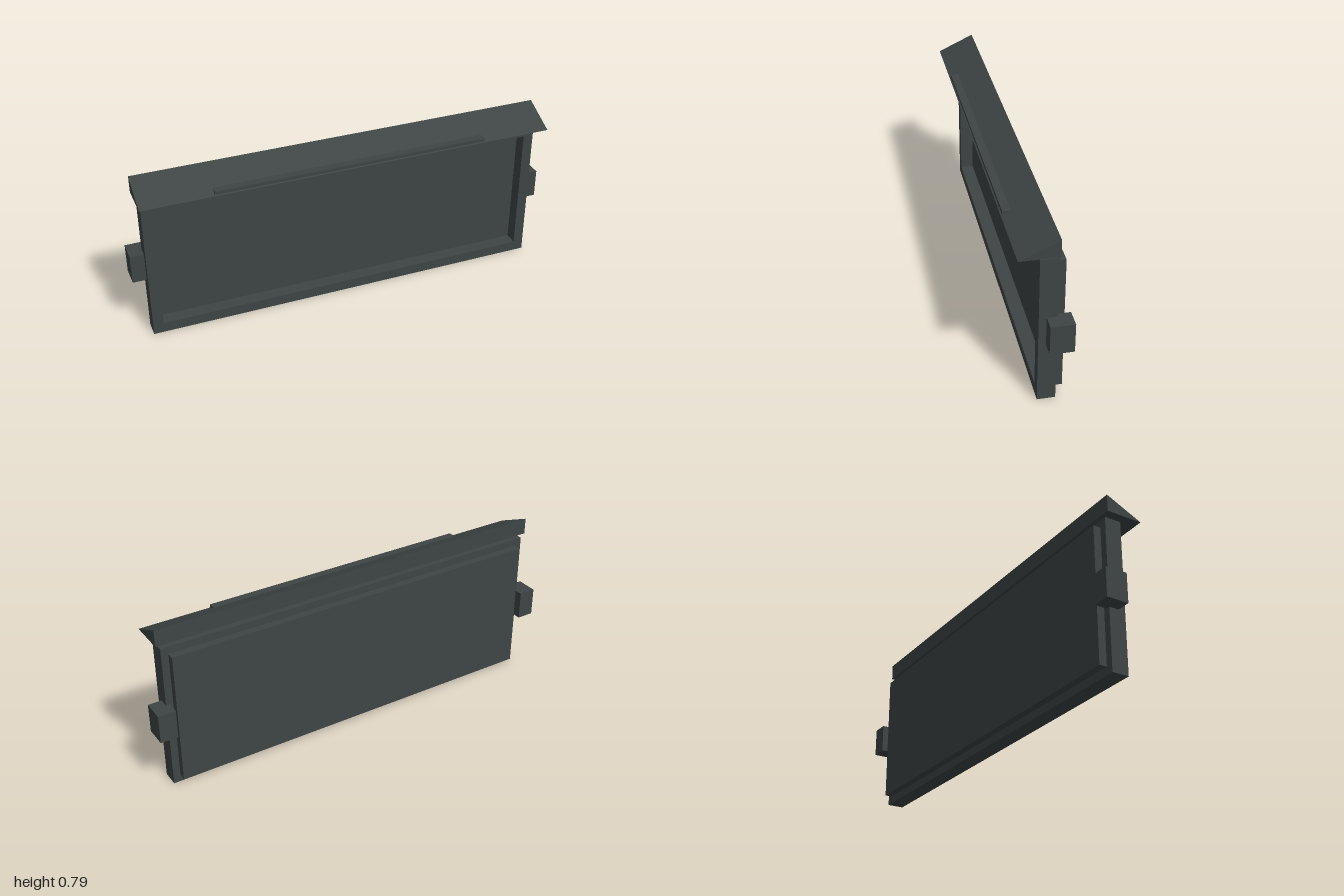
import * as THREE from 'three';

export function createModel() {
  const group = new THREE.Group();
  const slate = new THREE.MeshStandardMaterial({ color: 0x3e4544 });
  slate.name = 'dark slate';

  const add = (name, geometry) => {
    const mesh = new THREE.Mesh(geometry, slate);
    mesh.name = name;
    group.add(mesh);
  };
  // Box given by its minimum and maximum corners
  const box = (name, x0, x1, y0, y1, z0, z1) => {
    const g = new THREE.BoxGeometry(x1 - x0, y1 - y0, z1 - z0);
    g.translate((x0 + x1) / 2, (y0 + y1) / 2, (z0 + z1) / 2);
    add(name, g);
  };
  const polygon = (Type, points) => new Type(points.map(([x, y]) => new THREE.Vector2(x, y)));
  const rect = (w, y0, y1) => [[-w, y0], [w, y0], [w, y1], [-w, y1]];

  // Front frame with its rectangular opening
  const frame = polygon(THREE.Shape, rect(0.938, 0, 0.69));
  frame.holes.push(polygon(THREE.Path, rect(0.89, 0.048, 0.643)));
  const frameGeometry = new THREE.ExtrudeGeometry(frame, { depth: 0.077, bevelEnabled: false });
  frameGeometry.translate(0, 0, -0.055);
  add('frame', frameGeometry);

  // Recessed board, and the raised cover on the back
  box('recessedBoard', -0.89, 0.89, 0.048, 0.643, -0.055, -0.04);
  box('backCover', -0.905, 0.905, 0.035, 0.656, -0.09, -0.055);

  // Wedge canopy, drawn in (-z, y) and turned to run along x
  const wedge = polygon(THREE.Shape, [[-0.112, 0.708], [0.055, 0.708], [0.055, 0.785]]);
  const canopy = new THREE.ExtrudeGeometry(wedge, { depth: 1.916, bevelEnabled: false });
  canopy.translate(0, 0, -0.958);
  canopy.rotateY(Math.PI / 2);
  add('canopy', canopy);

  // Light bar along the canopy's front edge
  box('lightBar', -0.633, 0.633, 0.7, 0.727, 0.067, 0.106);

  // Mounting blocks at the sides
  box('leftMount', 0.92, 1, 0.279, 0.413, -0.112, -0.01);
  box('rightMount', -1, -0.92, 0.279, 0.413, -0.112, -0.01);

  return group;
}
